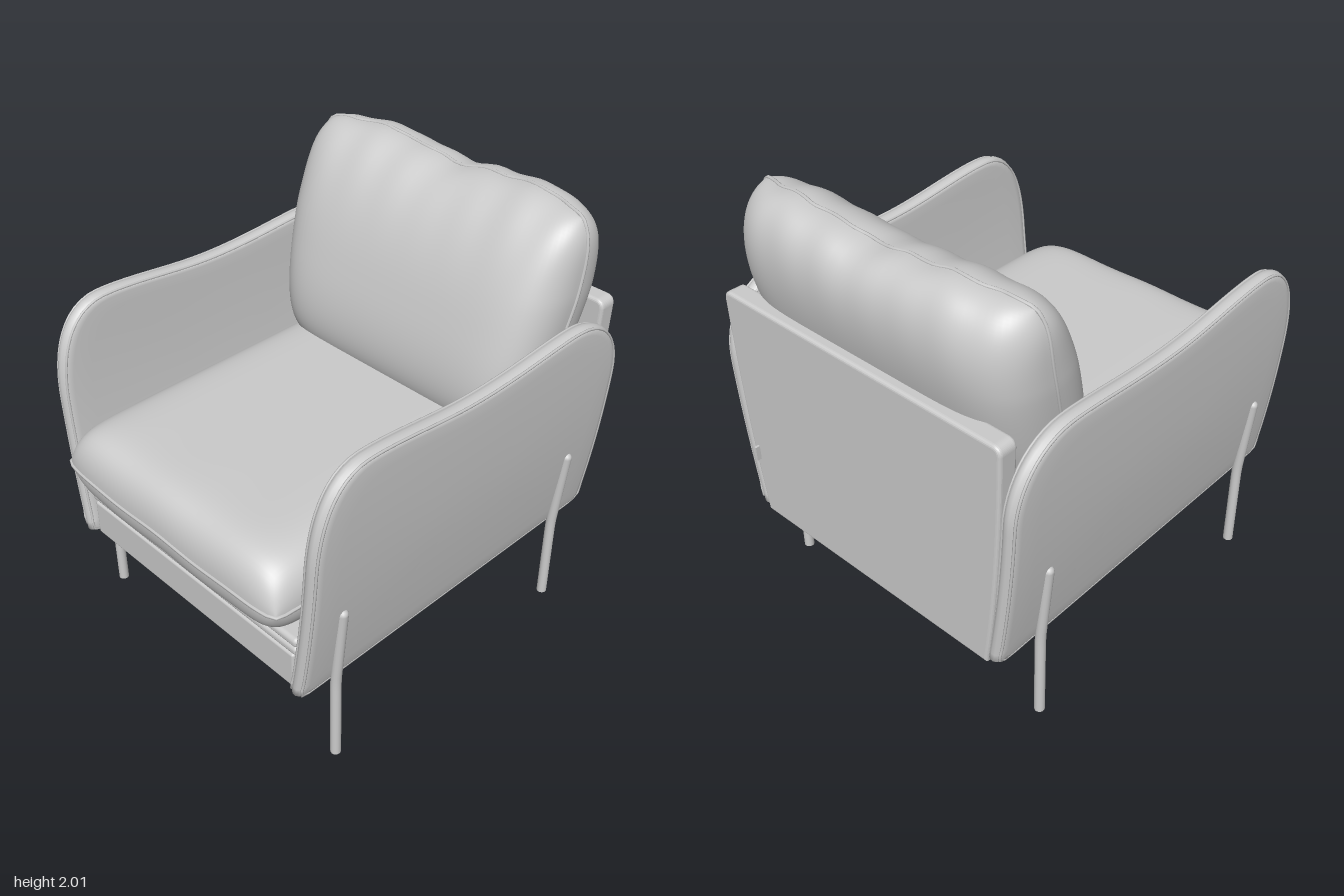
import * as THREE from 'three';
import { mergeVertices } from 'three/addons/utils/BufferGeometryUtils.js';
import { RoundedBoxGeometry } from 'three/addons/geometries/RoundedBoxGeometry.js';
import { ParametricGeometry } from 'three/addons/geometries/ParametricGeometry.js';

const material = new THREE.MeshStandardMaterial({ color: 0xcccccc, roughness: 0.8 });

function add(parent, name, geometry, x = 0, y = 0, z = 0) {
  const mesh = new THREE.Mesh(geometry, material);
  mesh.name = name;
  mesh.position.set(x, y, z);
  parent.add(mesh);
  return mesh;
}

// Weld a parametric sheet and give it smooth normals
function smooth(geometry) {
  geometry.deleteAttribute('uv');
  geometry.deleteAttribute('normal');
  const welded = mergeVertices(geometry, 1e-5);
  welded.computeVertexNormals();
  return welded;
}

function piping(points, radius) {
  const curve = new THREE.CatmullRomCurve3(points, true);
  return new THREE.TubeGeometry(curve, points.length * 2, radius, 6, true);
}

// Cushion: two bulging sheets meeting in a piped seam.
// place(a, b, h) maps the flat rounded outline and its bulge into space.
function cushion(name, place, { powA, powB, round, roundPow, edge }) {
  const group = new THREE.Group();
  group.name = name;
  const point = (a, b, side) => {
    const bulge = Math.pow(Math.max(0, 1 - Math.abs(a) ** powA), edge)
      * Math.pow(Math.max(0, 1 - Math.abs(b) ** powB), edge);
    return place(a * (1 - round * Math.abs(b) ** roundPow), b * (1 - round * Math.abs(a) ** roundPow), side * bulge);
  };
  const ease = (t) => Math.sin((t - 0.5) * Math.PI);
  for (const side of [1, -1]) {
    const sheet = (u, v, target) => target.copy(point(side * ease(u), ease(v), side));
    add(group, side > 0 ? 'cushionFace' : 'cushionReverse', smooth(new ParametricGeometry(sheet, 56, 56)));
  }
  const seam = [];
  const corners = [[-1, -1], [1, -1], [1, 1], [-1, 1]];
  corners.forEach(([a, b], i) => {
    const [c, d] = corners[(i + 1) % 4];
    for (let k = 0; k < 20; k++) {
      const t = k / 20;
      seam.push(point(a + (c - a) * t, b + (d - b) * t, 0));
    }
  });
  add(group, 'cushionPiping', piping(seam, 0.008));
  return group;
}

// Centre line of the outward-leaning side panels
const leanX = (y) => 0.778 - 0.095 * ((1.54 - y) / 1.11) ** 2;

// Side outline, drawn as (z, y)
function sideOutline() {
  const s = new THREE.Shape();
  s.moveTo(0, 0.43);
  s.lineTo(0.845, 0.43);
  s.quadraticCurveTo(0.86, 0.43, 0.86, 0.45);
  s.lineTo(0.85, 1.12);
  s.bezierCurveTo(0.845, 1.38, 0.76, 1.54, 0.59, 1.54);
  s.bezierCurveTo(0.38, 1.54, 0.2, 1.492, -0.05, 1.492);
  s.bezierCurveTo(-0.3, 1.492, -0.45, 1.52, -0.62, 1.52);
  s.bezierCurveTo(-0.78, 1.52, -0.92, 1.41, -0.93, 1.2);
  s.lineTo(-0.93, 0.45);
  s.quadraticCurveTo(-0.93, 0.43, -0.915, 0.43);
  s.closePath();
  return s.getSpacedPoints(140);
}

function sidePanel(name, side) {
  const group = new THREE.Group();
  group.name = name;
  const outline = sideOutline();
  const midY = 0.97;
  const midZ = -0.035;
  // Section from the middle of one face around the rim: [scale, offset]
  const half = [[0, 0.038], [0.3, 0.038], [0.6, 0.038], [0.85, 0.038], [0.95, 0.037], [0.975, 0.033], [0.992, 0.022], [1, 0.008]];
  const section = [...half, ...half.map(([s, h]) => [s, -h]).reverse()];
  const point = (i, s, h) => {
    const p = outline[i % (outline.length - 1)];
    const y = midY + (p.y - midY) * s;
    return new THREE.Vector3(side * leanX(y) + h, y, midZ + (p.x - midZ) * s);
  };
  const n = outline.length - 1;
  const rows = section.length - 1;
  const surface = (u, v, target) => {
    // Keep the sampler on whole outline and section steps
    const [s, h] = section[Math.min(rows, Math.round(v * rows))];
    target.copy(point(Math.round(u * n), s, h));
  };
  add(group, 'panelBody', smooth(new ParametricGeometry(surface, n, rows)));
  for (const h of [-0.029, 0.029]) {
    const rim = [];
    for (let i = 0; i < n; i += 2) rim.push(point(i, 0.985, h));
    add(group, 'panelPiping', piping(rim, 0.006));
  }
  return group;
}

// Metal leg: upright below, leaning out along the panel above
function leg(name, side, z) {
  const group = new THREE.Group();
  group.name = name;
  const path = new THREE.CurvePath();
  const p = [[0.735, 0], [0.735, 0.38], [0.738, 0.46], [0.772, 0.82]].map(([x, y]) => new THREE.Vector3(side * x, y, z));
  path.add(new THREE.LineCurve3(p[0], p[1]));
  path.add(new THREE.QuadraticBezierCurve3(p[1], new THREE.Vector3(side * 0.735, 0.42, z), p[2]));
  path.add(new THREE.LineCurve3(p[2], p[3]));
  add(group, 'legTube', new THREE.TubeGeometry(path, 30, 0.023, 16));
  add(group, 'legTip', new THREE.SphereGeometry(0.023, 16, 10), p[3].x, p[3].y, z);
  add(group, 'legFoot', new THREE.CircleGeometry(0.023, 16).rotateX(Math.PI / 2), p[0].x, 0, z);
  return group;
}

export function createModel() {
  const chair = new THREE.Group();
  chair.name = 'armchair';

  // Base, front rail and the layered seat deck
  add(chair, 'base', new THREE.BoxGeometry(1.3, 0.15, 1.64), 0, 0.525, -0.02);
  add(chair, 'frontRail', new RoundedBoxGeometry(1.3, 0.18, 0.08, 3, 0.012), 0, 0.52, 0.79);
  add(chair, 'bottomBackStrip', new THREE.BoxGeometry(1.3, 0.03, 0.12), 0, 0.45, -0.79);
  for (const y of [0.634, 0.678]) {
    add(chair, 'seatDeck', new RoundedBoxGeometry(1.34, 0.046, 1.66, 3, 0.02), 0, y, 0);
  }

  // Back panel, wider at the top to follow the sides
  const back = new THREE.Shape();
  back.moveTo(-0.65, 0.44);
  back.lineTo(0.65, 0.44);
  back.quadraticCurveTo(0.72, 0.9, 0.735, 1.5);
  back.quadraticCurveTo(0.735, 1.525, 0.71, 1.525);
  back.lineTo(-0.71, 1.525);
  back.quadraticCurveTo(-0.735, 1.525, -0.735, 1.5);
  back.quadraticCurveTo(-0.72, 0.9, -0.65, 0.44);
  add(chair, 'backPanel', new THREE.ExtrudeGeometry(back, {
    depth: 0.06, bevelSize: 0.015, bevelThickness: 0.015, bevelSegments: 4, curveSegments: 12,
  }), 0, 0, -0.922);
  add(chair, 'backTag', new THREE.BoxGeometry(0.012, 0.07, 0.03), 0.67, 0.75, -0.943);

  // Sides and legs
  for (const [label, side] of [['left', 1], ['right', -1]]) {
    chair.add(sidePanel(label + 'SidePanel', side));
    chair.add(leg(label + 'FrontLeg', side, 0.68));
    chair.add(leg(label + 'BackLeg', side, -0.7));
  }

  // Seat cushion
  chair.add(cushion('seatCushion', (a, b, h) => new THREE.Vector3(
    0.68 * a,
    0.88 + (h > 0 ? 0.205 : 0.18) * h + 0.004 * Math.sin(9 * a + 2) * Math.abs(b) ** 6,
    0.065 - 0.88 * b,
  ), { powA: 9, powB: 15, round: 0.035, roundPow: 10, edge: 0.5 }));

  // Back cushion, leaning back with a slightly sagging, wrinkled top edge
  chair.add(cushion('backCushion', (a, b, h) => {
    const top = Math.max(0, b) ** 3;
    const sag = 0.035 * Math.exp(-((a / 0.3) ** 2)) + 0.005 * Math.sin(17 * a + 1);
    const y = 1.485 + 0.51 * b - top * sag;
    const width = 0.75 - 0.06 * Math.max(0, (1.65 - y) / 0.55) ** 1.3;
    const lean = -0.5 - 0.25 * (y - 1.1) / 0.9;
    const crease = 0.006 * Math.sin(23 * a) * top;
    return new THREE.Vector3(width * a, y, lean + 0.07 * a ** 4 * top + 0.27 * h + crease);
  }, { powA: 7, powB: 2.4, round: 0.07, roundPow: 8, edge: 0.44 }));

  return chair;
}
